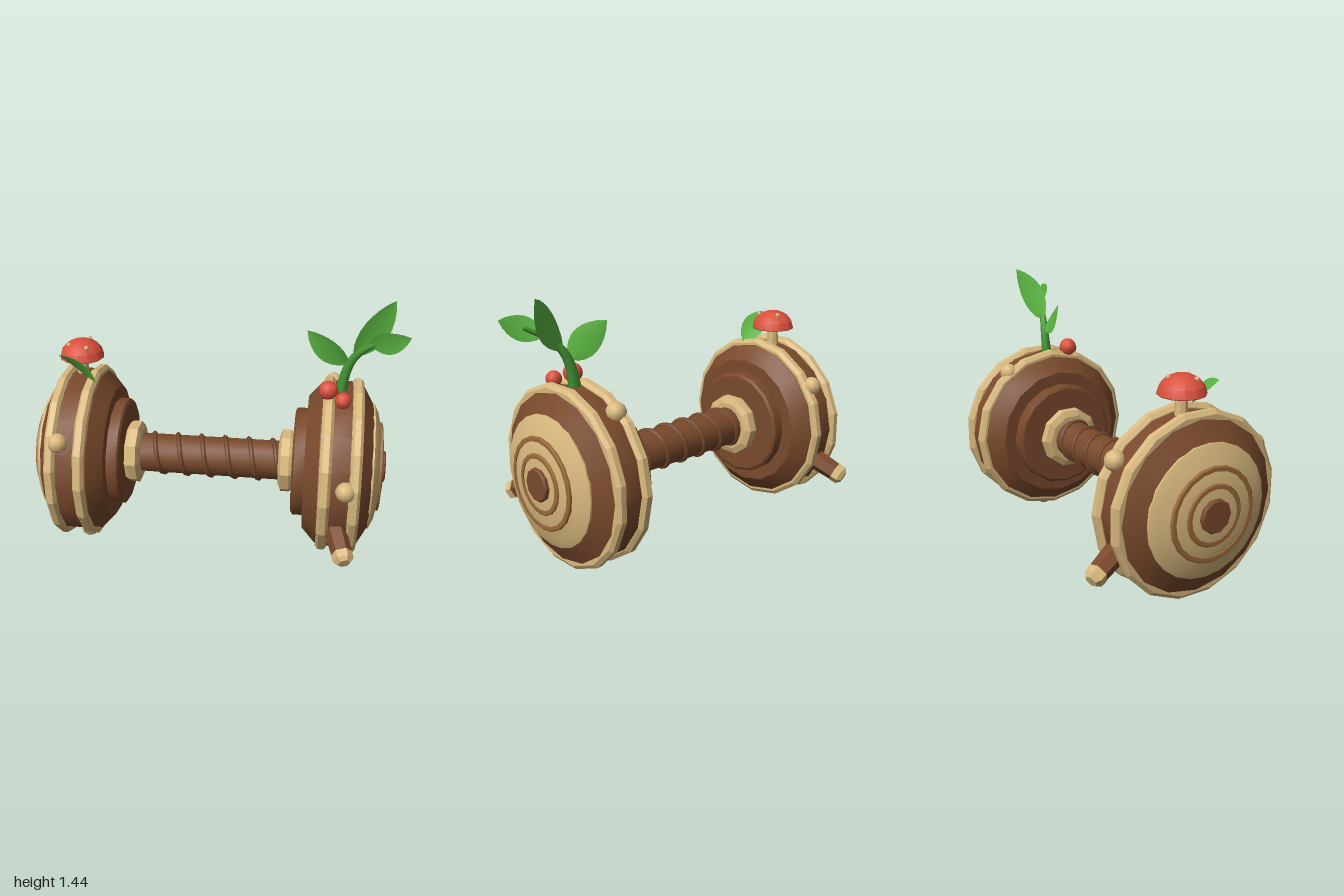
import * as THREE from 'three';
import { toCreasedNormals } from 'three/addons/utils/BufferGeometryUtils.js';

const V = (x, y, z) => new THREE.Vector3(x, y, z);
const AXIS_Y = 0.513, MID_X = -0.033;

export function createModel() {
  const mat = (name, color, extra = {}) => {
    const m = new THREE.MeshStandardMaterial({ color, ...extra });
    m.name = name;
    return m;
  };
  const bark = mat('bark brown', 0x7a4a2c);
  const wood = mat('pale wood', 0xd9b97e);
  const groove = mat('growth ring', 0x9a6a3a);
  const red = mat('red', 0xda503c);
  const leafGreen = mat('leaf green', 0x5cb843, { side: THREE.DoubleSide });
  const stemGreen = mat('stem green', 0x469a35);

  const root = new THREE.Group();
  root.name = 'woodenDumbbell';

  const add = (parent, name, geo, material, pos) => {
    const mesh = new THREE.Mesh(geo, material);
    mesh.name = name;
    if (pos) mesh.position.copy(pos);
    parent.add(mesh);
    return mesh;
  };

  // Lathe turned about the x axis; profile is [x, radius] from inner to outer
  const turned = (profile, sides, crease = 0.45) => {
    const g = new THREE.LatheGeometry(profile.map(([x, r]) => new THREE.Vector2(r, x)), sides);
    g.rotateZ(-Math.PI / 2);
    return toCreasedNormals(g, crease);
  };

  // Tapered prism between two points
  const limb = (parent, name, a, b, rA, rB, sides, material) => {
    const d = b.clone().sub(a);
    const g = toCreasedNormals(new THREE.CylinderGeometry(rB, rA, d.length(), sides), 0.3);
    const mesh = add(parent, name, g, material, a.clone().add(b).multiplyScalar(0.5));
    mesh.quaternion.setFromUnitVectors(V(0, 1, 0), d.normalize());
    return mesh;
  };

  // Pointed leaf from base to tip, facing roughly along "facing"
  const leaf = (parent, name, base, tip, width, facing) => {
    const dir = tip.clone().sub(base), len = dir.length();
    dir.normalize();
    const side = dir.clone().cross(facing).normalize();
    const normal = side.clone().cross(dir);
    const g = new THREE.PlaneGeometry(1, 1, 2, 8), p = g.attributes.position;
    for (let i = 0; i < p.count; i++) {
      const s = p.getY(i) + 0.5;
      const x = p.getX(i) * width * Math.pow(Math.max(0, Math.sin(Math.PI * Math.pow(s, 0.9))), 0.8);
      p.setXYZ(i, x, s * len, Math.abs(x) * 0.15 + Math.sin(Math.PI * s) * 0.012);
    }
    g.applyMatrix4(new THREE.Matrix4().makeBasis(side, dir, normal));
    g.computeVertexNormals();
    add(parent, name, g, leafGreen, base);
  };

  // Handle with a spiral vine
  add(root, 'handle', turned([[-0.42, 0.11], [0.42, 0.11]], 14), bark, V(MID_X, AXIS_Y, 0));
  const helix = [];
  for (let i = 0; i <= 96; i++) {
    const t = -0.5 + (i / 96) * 5.9, a = t * Math.PI * 2;
    helix.push(V(-0.35 + t * 0.134, AXIS_Y + Math.cos(a) * 0.11, Math.sin(a) * 0.11));
  }
  add(root, 'spiralVine', new THREE.TubeGeometry(new THREE.CatmullRomCurve3(helix), 140, 0.014, 5), bark);

  // Weights, the same on both ends
  const ring = (x0, x1, r) => [
    [x0, 0.40], [x0, r - 0.02], [x0 + 0.015, r], [x1 - 0.015, r], [x1, r - 0.02], [x1, 0.40],
  ];
  for (const [name, turn] of [['leftWeight', 0], ['rightWeight', Math.PI]]) {
    const w = new THREE.Group();
    w.name = name;
    w.position.set(MID_X, AXIS_Y, 0);
    w.rotation.y = turn;
    root.add(w);
    add(w, 'collar', turned([[0.385, 0.1], [0.385, 0.14], [0.4, 0.175], [0.445, 0.175], [0.475, 0.155]], 10, 0.2), wood);
    add(w, 'barkBody', turned([
      [0.465, 0], [0.465, 0.285], [0.475, 0.3], [0.532, 0.3], [0.532, 0.37], [0.545, 0.385], [0.605, 0.45],
      [0.675, 0.46], [0.765, 0.46], [0.825, 0.445], [0.885, 0.34], [0.885, 0],
    ], 16), bark);
    add(w, 'innerRim', turned(ring(0.61, 0.672, 0.485), 16, 0.2), wood);
    const outer = add(w, 'outerRim', turned(ring(0.765, 0.825, 0.485), 16, 0.2), wood);
    outer.rotation.x = Math.PI / 16;
    // Cut face with growth rings
    add(w, 'cutFace', turned([
      [0.87, 0.345], [0.89, 0.345], [0.912, 0.3], [0.925, 0.245], [0.935, 0.22], [0.94, 0.16], [0.945, 0.13], [0.945, 0],
    ], 24), wood);
    for (const [r0, r1, x] of [[0.22, 0.245, 0.94], [0.135, 0.16, 0.95]])
      add(w, 'growthRing', turned([[x - 0.03, r1], [x - 0.004, r1], [x, r1 - 0.006], [x, r0], [x - 0.03, r0]], 20), groove);
    add(w, 'endKnob', turned([[0.93, 0.088], [0.96, 0.088], [0.967, 0.08], [0.967, 0]], 10), bark);
  }

  // Rounded knots on the bark
  for (const [x, y, z] of [
    [-0.785, 0.745, 0.4], [-0.705, 0.78, -0.385], [-0.725, 0.065, 0.12],
    [0.715, 0.595, 0.452], [0.63, 0.89, -0.265], [0.655, 0.06, -0.04],
  ]) add(root, 'knot', new THREE.SphereGeometry(0.053, 10, 7), wood, V(x, y, z));

  // Cut branch stubs, one on each weight
  for (const [name, a, b] of [
    ['frontBranch', V(0.67, 0.35, 0.37), V(0.722, 0.265, 0.545)],
    ['backBranch', V(-0.735, 0.35, -0.37), V(-0.79, 0.265, -0.545)],
  ]) {
    const d = b.clone().sub(a).normalize();
    limb(root, name, a, b, 0.062, 0.052, 6, bark);
    const c = b.clone().addScaledVector(d, 0.015);
    limb(root, name + 'Cut', b.clone().addScaledVector(d, -0.025), c, 0.056, 0.054, 6, wood);
    limb(root, name + 'Tip', c, c.clone().addScaledVector(d, 0.02), 0.054, 0.033, 6, wood);
  }

  // Mushroom
  const capPos = V(-0.75, 1.06, -0.04);
  limb(root, 'mushroomStem', V(-0.75, 0.94, -0.04), V(-0.75, 1.07, -0.04), 0.036, 0.028, 8, wood);
  const cap = new THREE.LatheGeometry(
    [[0, 0.004], [0.118, 0], [0.122, 0.004], [0.11, 0.045], [0.082, 0.078], [0.042, 0.097], [0, 0.103]]
      .map(([r, y]) => new THREE.Vector2(r, y)), 12);
  add(root, 'mushroomCap', toCreasedNormals(cap, 0.6), red, capPos);
  for (const [x, y, z] of [[-0.06, 0.08, 0.04], [0.045, 0.077, 0.07], [0.03, 0.085, -0.06]])
    add(root, 'mushroomSpot', new THREE.SphereGeometry(0.014, 8, 6), wood, capPos.clone().add(V(x, y, z)));
  leaf(root, 'mushroomLeaf', V(-0.645, 0.965, 0.1), V(-0.835, 1.125, 0.115), 0.13, V(0.4, 0.6, -0.7));

  // Sprout: tapering stem from round sections along a curve
  const path = new THREE.CatmullRomCurve3([
    V(0.665, 0.94, 0.01), V(0.685, 1.06, 0.01), V(0.72, 1.15, 0.02), V(0.785, 1.22, 0.045), V(0.9, 1.285, 0.09),
  ]);
  const stem = new THREE.TubeGeometry(path, 12, 1, 6), sp = stem.attributes.position;
  for (let i = 0; i < sp.count; i++) {
    const t = Math.floor(i / 7) / 12, c = path.getPointAt(t);
    const p = V(0, 0, 0).fromBufferAttribute(sp, i).sub(c).multiplyScalar(0.034 - 0.024 * t).add(c);
    sp.setXYZ(i, p.x, p.y, p.z);
  }
  add(root, 'sproutStem', stem, stemGreen);
  leaf(root, 'sproutLeafInner', V(0.7, 1.11, 0.01), V(0.475, 1.28, -0.015), 0.155, V(0, -0.5, 0.87));
  leaf(root, 'sproutLeafTop', V(0.72, 1.16, 0.02), V(0.92, 1.447, -0.052), 0.165, V(0.2, -0.3, 0.9));
  leaf(root, 'sproutLeafOuter', V(0.8, 1.24, 0.055), V(0.995, 1.325, 0.155), 0.125, V(-0.5, -0.3, 0.9));

  // Berries
  for (const [x, y, z, r] of [[0.6, 1.005, 0.117, 0.051], [0.678, 0.975, 0.175, 0.043]])
    add(root, 'berry', new THREE.SphereGeometry(r, 10, 8), red, V(x, y, z));

  return root;
}
